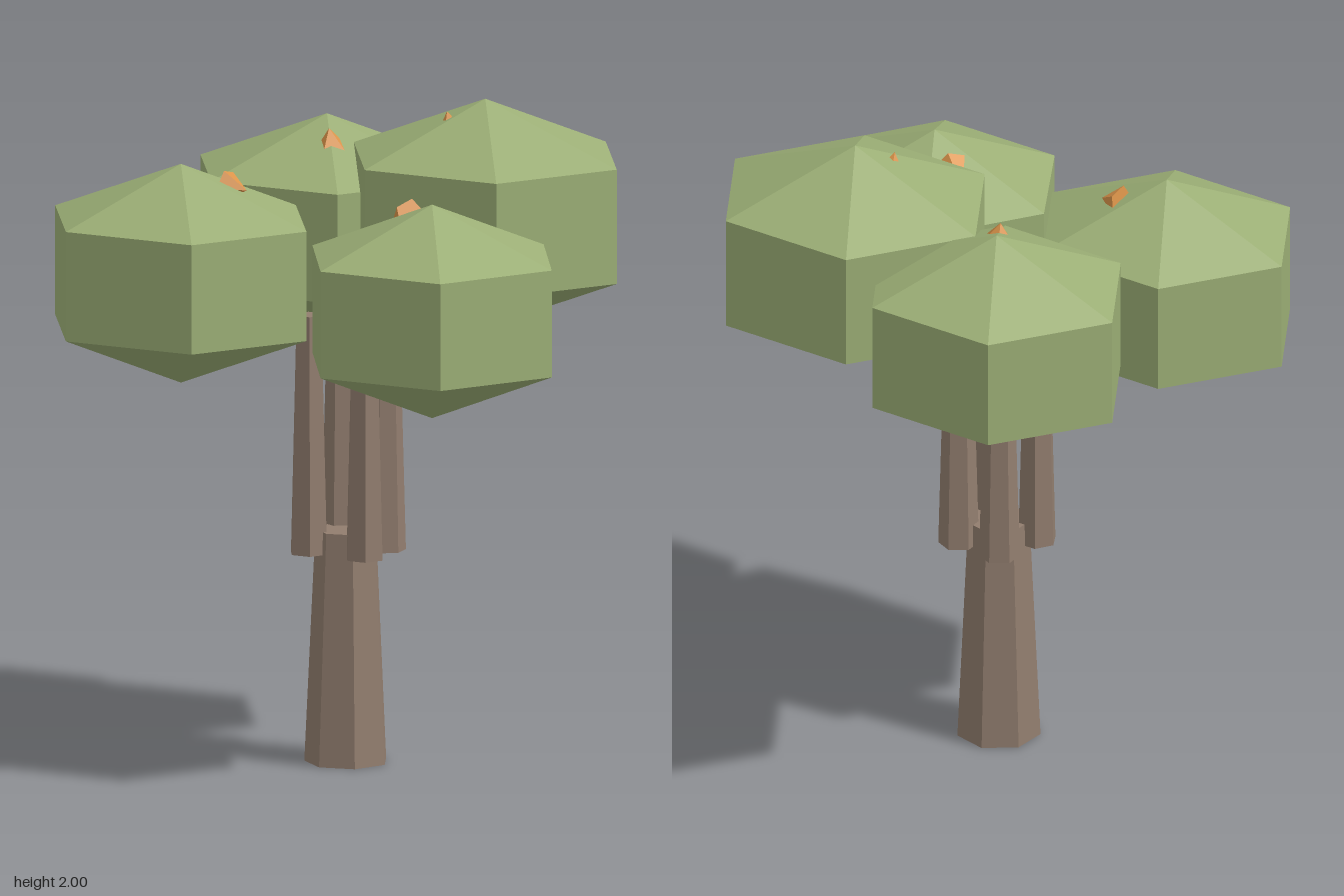
import * as THREE from 'three';

const bark = new THREE.MeshStandardMaterial({ color: 0x917d6e });
bark.name = 'bark brown';
const leaf = new THREE.MeshStandardMaterial({ color: 0x9caf76 });
leaf.name = 'leaf green';
const orange = new THREE.MeshStandardMaterial({ color: 0xdb944a });
orange.name = 'fruit orange';

// Faceted mesh with one normal per face
function facetedMesh(name, geometry, material) {
  const flat = geometry.toNonIndexed();
  flat.computeVertexNormals();
  const mesh = new THREE.Mesh(flat, material);
  mesh.name = name;
  return mesh;
}

// Upright tapered log standing on y0
function log(name, rTop, rBottom, height, sides, x, y0, z, turn) {
  const mesh = facetedMesh(name, new THREE.CylinderGeometry(rTop, rBottom, height, sides), bark);
  mesh.position.set(x, y0 + height / 2, z);
  mesh.rotation.y = turn;
  return mesh;
}

// Six-sided leaf clump; half sizes are measured on its widest ring
function clump(name, [x, y, z], [hx, hy, hz]) {
  const geometry = new THREE.SphereGeometry(1, 6, 3);
  const ring = Math.sin(Math.PI / 3);
  geometry.scale(hx / ring, hy, hz / (ring * ring));
  geometry.translate(x, y, z);
  return facetedMesh(name, geometry, leaf);
}

// Five-sided cone from the centre of its base to its tip
function fruit(name, base, tip, radius) {
  const from = new THREE.Vector3(...base);
  const axis = new THREE.Vector3(...tip).sub(from);
  const length = axis.length();
  const geometry = new THREE.ConeGeometry(radius, length, 5);
  geometry.translate(0, length / 2, 0);
  const mesh = facetedMesh(name, geometry, orange);
  mesh.position.copy(from);
  mesh.quaternion.setFromUnitVectors(new THREE.Vector3(0, 1, 0), axis.normalize());
  return mesh;
}

export function createModel() {
  const tree = new THREE.Group();
  tree.name = 'tree';

  // Trunk
  tree.add(log('trunk', 0.095, 0.128, 0.71, 7, 0, 0, 0.037, -0.232));

  // Four branches around the top of the trunk
  const branches = [
    ['branchFrontRight', -0.094, 0.103, Math.PI / 6],
    ['branchFrontLeft', 0.094, 0.103, Math.PI / 6],
    ['branchBackRight', -0.063, -0.046, 0.1],
    ['branchBackLeft', 0.088, -0.046, 0.1],
  ];
  for (const [name, x, z, turn] of branches) {
    tree.add(log(name, 0.042, 0.061, 0.73, 6, x, 0.64, z, turn));
  }

  // Leaf clumps
  tree.add(
    clump('leavesFrontRight', [-0.405, 1.51, 0.338], [0.425, 0.335, 0.338]),
    clump('leavesFrontLeft', [0.42, 1.463, 0.29], [0.405, 0.327, 0.335]),
    clump('leavesBackRight', [-0.263, 1.555, -0.337], [0.428, 0.335, 0.34]),
    clump('leavesBackLeft', [0.305, 1.65, -0.275], [0.445, 0.35, 0.355]),
  );

  // Fruits half sunk in the leaves
  tree.add(
    fruit('fruitFrontRight', [-0.3, 1.775, 0.25], [-0.225, 1.765, 0.255], 0.05),
    fruit('fruitFrontLeft', [0.31, 1.735, 0.22], [0.22, 1.7, 0.16], 0.05),
    fruit('fruitBackRight', [-0.19, 1.8, -0.23], [-0.2, 1.87, -0.23], 0.058),
    fruit('fruitBackLeft', [0.23, 1.9, -0.2], [0.22, 1.968, -0.19], 0.05),
  );

  return tree;
}
